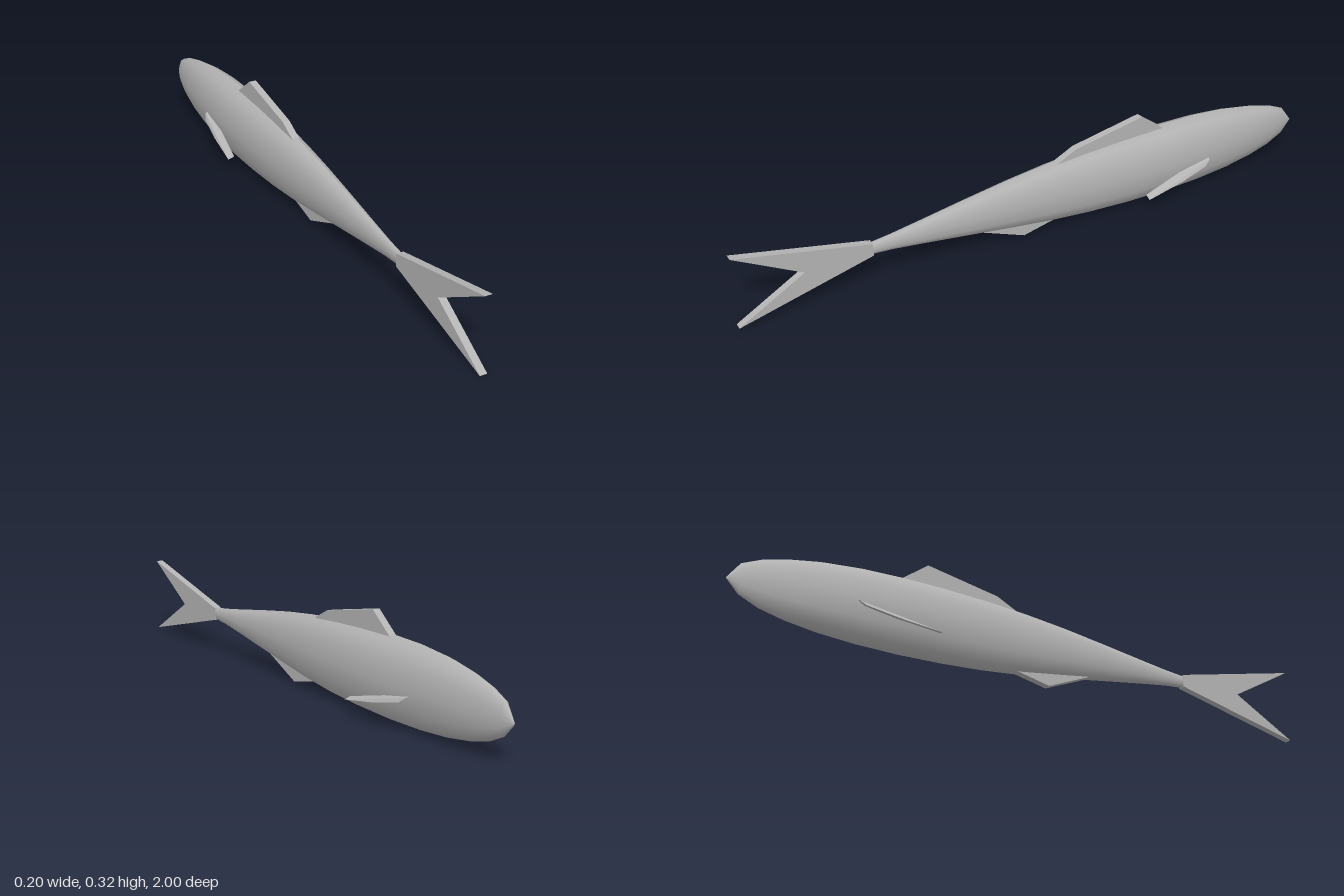
import * as THREE from 'three';

const grey = new THREE.MeshStandardMaterial({ color: 0xb4b4b4 });
grey.name = 'fish grey';

const THICK = 0.024;

function addMesh(group, name, geometry) {
  const mesh = new THREE.Mesh(geometry, grey);
  mesh.name = name;
  group.add(mesh);
}

// Unit-depth prism from a flat outline
function prism(points, depth) {
  const shape = new THREE.Shape(points.map(([a, b]) => new THREE.Vector2(a, b)));
  return new THREE.ExtrudeGeometry(shape, { depth, bevelEnabled: false });
}

// Upright plate on the centre plane, outlined in [z, y]
function uprightFin(points) {
  return prism(points.map(([z, y]) => [-z, y]), THICK)
    .translate(0, 0, -THICK / 2)
    .rotateY(Math.PI / 2);
}

// Twelve-sided oval sections lofted along z: [z, bottom, top, half width]
function bodyGeometry() {
  const stations = [
    [-1, 0.119, 0.121, 0.001], [-0.96, 0.076, 0.176, 0.018], [-0.9, 0.048, 0.203, 0.031],
    [-0.82, 0.028, 0.225, 0.044], [-0.72, 0.013, 0.243, 0.055], [-0.6, 0.004, 0.254, 0.063],
    [-0.46, 0.001, 0.257, 0.067], [-0.32, 0.004, 0.255, 0.064], [-0.18, 0.012, 0.249, 0.058],
    [-0.04, 0.026, 0.239, 0.05], [0.1, 0.046, 0.223, 0.041], [0.25, 0.069, 0.201, 0.031],
    [0.4, 0.092, 0.177, 0.021], [0.5, 0.106, 0.162, 0.014], [0.57, 0.112, 0.154, 0.011],
  ];
  const sides = 12, positions = [], index = [];
  stations.forEach(([z, low, high, w], i) => {
    for (let j = 0; j < sides; j++) {
      const t = (j / sides) * Math.PI * 2;
      positions.push(w * Math.cos(t), (low + high) / 2 + ((high - low) / 2) * Math.sin(t), z);
      if (i === stations.length - 1) continue;
      const a = i * sides + j, b = i * sides + ((j + 1) % sides);
      index.push(a, b, a + sides, b, b + sides, a + sides);
    }
  });
  const geometry = new THREE.BufferGeometry();
  geometry.setAttribute('position', new THREE.Float32BufferAttribute(positions, 3));
  geometry.setIndex(index);
  geometry.computeVertexNormals();
  return geometry;
}

// Slim side blade: outline in [z, distance outward and down], sheared into place
function pectoralFin(side) {
  const outline = [[-0.62, 0], [-0.365, 0.067], [-0.5, 0.044], [-0.6, 0.018]];
  const originX = side > 0 ? 0.046 : -0.068;
  const originY = side > 0 ? 0.12 : 0.113;
  const basis = new THREE.Matrix4().makeBasis(
    new THREE.Vector3(0, 0, 1),
    new THREE.Vector3(side * 0.5, -0.866, 0),
    new THREE.Vector3(0.022, -side * 0.007, 0),
  ).setPosition(originX, originY, 0);
  return prism(outline, 1).applyMatrix4(basis);
}

export function createModel() {
  const fish = new THREE.Group();
  fish.name = 'fish';

  addMesh(fish, 'body', bodyGeometry());
  addMesh(fish, 'bodyEnd', new THREE.CircleGeometry(1, 12).scale(0.011, 0.021, 1).translate(0, 0.133, 0.57));

  // Forked tail, back fin and belly fin
  addMesh(fish, 'tailFin', uprightFin([[0.565, 0.154], [1, 0.255], [0.785, 0.13], [1, 0.005], [0.565, 0.112]]));
  addMesh(fish, 'dorsalFin', uprightFin([[-0.07, 0.236], [-0.137, 0.27], [-0.378, 0.316], [-0.47, 0.245], [-0.3, 0.22]]));
  addMesh(fish, 'analFin', uprightFin([[0.195, 0.066], [0.05, 0.005], [-0.075, 0.033], [0.05, 0.08]]));

  addMesh(fish, 'leftPectoralFin', pectoralFin(1));
  addMesh(fish, 'rightPectoralFin', pectoralFin(-1));
  return fish;
}
